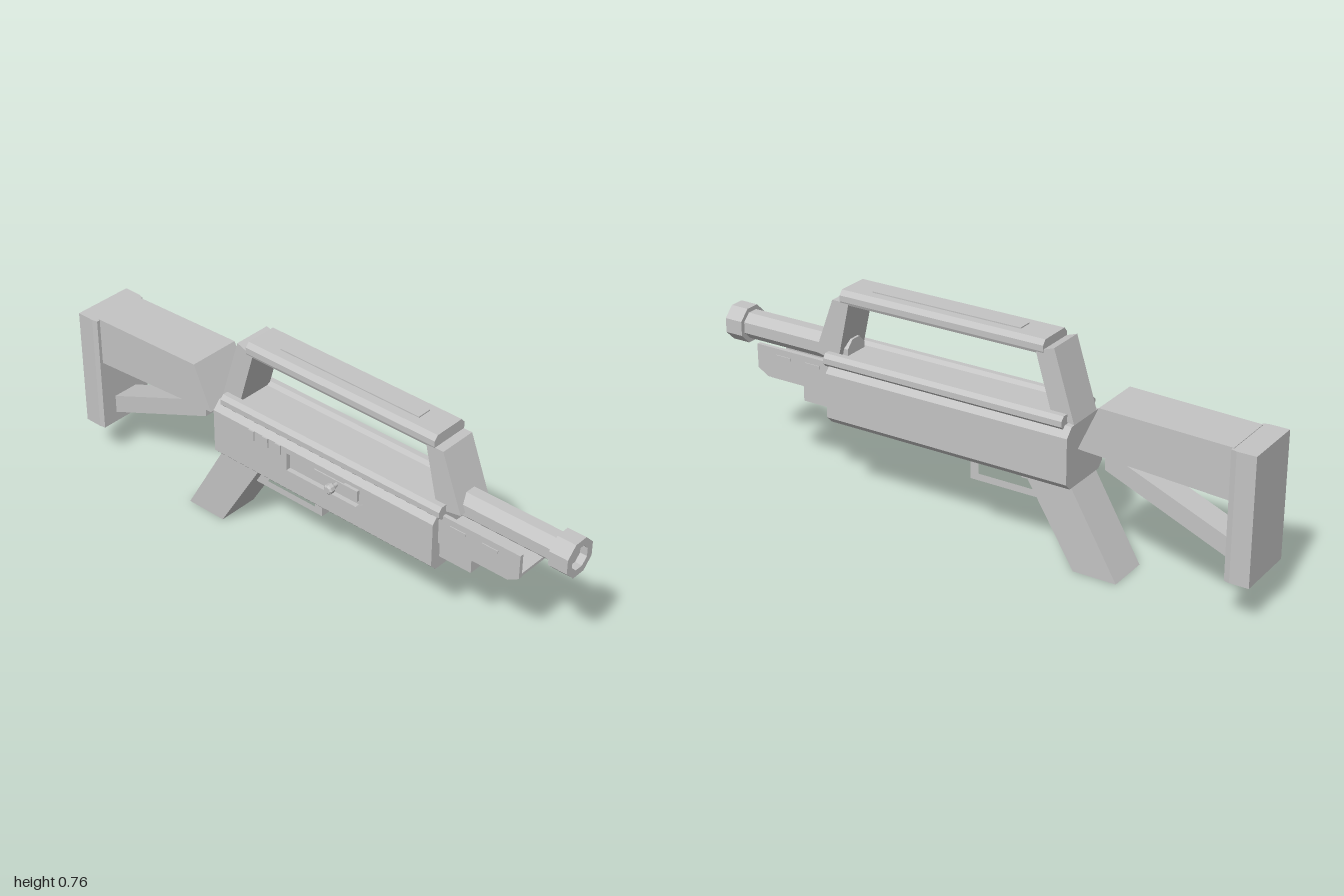
import * as THREE from 'three';

const CX = 0.018; // centre line of the main parts

export function createModel() {
  const root = new THREE.Group();
  root.name = 'rifle';
  const grey = new THREE.MeshStandardMaterial({ color: 0xc4c4c4 });
  grey.name = 'light grey';

  const add = (name, geometry) => {
    const mesh = new THREE.Mesh(geometry, grey);
    mesh.name = name;
    root.add(mesh);
    return mesh;
  };
  const outline = (pts, hole) => {
    const s = new THREE.Shape(pts.map(p => new THREE.Vector2(...p)));
    if (hole) s.holes.push(new THREE.Path(hole.map(p => new THREE.Vector2(...p))));
    return s;
  };
  const extrude = (pts, depth, hole) =>
    new THREE.ExtrudeGeometry(outline(pts, hole), { depth, bevelEnabled: false });
  // Side profile of [z, y] points, spanning x0 to x1
  const side = (name, pts, x0, x1, hole) =>
    add(name, extrude(pts, x1 - x0, hole).rotateY(-Math.PI / 2).translate(x1, 0, 0));
  // Front profile of [x, y] points, spanning z0 to z1
  const front = (name, pts, z0, z1, hole) =>
    add(name, extrude(pts, z1 - z0, hole).translate(0, 0, z0));
  const box = (name, x0, x1, y0, y1, z0, z1) =>
    add(name, new THREE.BoxGeometry(x1 - x0, y1 - y0, z1 - z0)
      .translate((x0 + x1) / 2, (y0 + y1) / 2, (z0 + z1) / 2));
  // Octagon with flat sides, r = half width across flats
  const octagon = (cx, cy, r) => Array.from({ length: 8 }, (_, i) => {
    const a = (i + 0.5) * Math.PI / 4, R = r / Math.cos(Math.PI / 8);
    return [cx + R * Math.cos(a), cy + R * Math.sin(a)];
  });

  // Receiver: chamfered core, with a separate right panel holding the port
  front('receiver', [
    [-0.07, 0.29], [0.106, 0.29], [0.128, 0.313], [0.128, 0.47], [0.1, 0.5],
    [-0.064, 0.5], [-0.092, 0.47], [-0.075, 0.47], [-0.075, 0.313], [-0.092, 0.313],
  ], -0.37, 0.545);
  side('portPanel', [[-0.37, 0.313], [0.545, 0.313], [0.545, 0.47], [-0.37, 0.47]],
    -0.092, -0.075,
    [[-0.05, 0.385], [0.24, 0.385], [0.27, 0.405], [0.27, 0.46], [0.2, 0.46],
      [0.19, 0.45], [0.0, 0.45], [-0.05, 0.45]]);
  box('topSlab', -0.06, 0.096, 0.495, 0.52, -0.345, 0.55);
  for (const s of [-1, 1]) front('sideRail', octagon(CX + s * 0.079, 0.509, 0.023), -0.345, 0.56);

  // Ribs and bolt handle on the port side
  for (const z of [-0.2, -0.14, -0.085]) box('panelRib', -0.097, -0.09, 0.435, 0.47, z - 0.012, z + 0.012);
  box('bolt', -0.086, -0.074, 0.4, 0.44, 0.06, 0.24);
  add('boltShaft', new THREE.CylinderGeometry(0.008, 0.008, 0.04, 8)
    .rotateZ(Math.PI / 2).translate(-0.09, 0.427, 0.155));
  add('boltKnob', new THREE.LatheGeometry(
    [[0, -0.013], [0.012, -0.013], [0.017, -0.008], [0.017, 0.008], [0.012, 0.013], [0, 0.013]]
      .map(p => new THREE.Vector2(...p)), 8).toNonIndexed()
    .rotateZ(Math.PI / 2).translate(-0.117, 0.427, 0.155)).geometry.computeVertexNormals();

  // Barrel and hollow muzzle
  front('barrel', octagon(CX, 0.523, 0.046), 0.5, 0.975);
  front('muzzle', octagon(CX, 0.523, 0.061), 0.933, 1, octagon(CX, 0.523, 0.037));

  // Open-topped fore-end with a stepped underside
  side('foreEndFloor', [[0.85, 0.415], [0.8, 0.385], [0.54, 0.385], [0.54, 0.425], [0.85, 0.425]], -0.06, 0.096);
  for (const [x0, x1] of [[-0.064, -0.05], [0.086, 0.1]]) {
    side('foreEndWall', [[0.85, 0.412], [0.81, 0.388], [0.54, 0.388], [0.54, 0.497], [0.85, 0.497]], x0, x1);
  }
  for (const x of [-0.065, 0.101]) {
    for (const z of [0.62, 0.74]) box('wallVent', x - 0.002, x + 0.002, 0.465, 0.475, z - 0.03, z + 0.03);
  }
  box('foreEndStep', -0.054, 0.092, 0.33, 0.4, 0.54, 0.667);

  // Carry handle
  side('handleFrontLeg', [[0.615, 0.517], [0.525, 0.5], [0.475, 0.715], [0.54, 0.715]], -0.05, 0.086);
  side('handleRearLeg', [[-0.23, 0.715], [-0.295, 0.738], [-0.37, 0.5], [-0.29, 0.515]], -0.05, 0.086);
  front('handleBar', [
    [-0.048, 0.708], [0.084, 0.708], [0.088, 0.718], [0.088, 0.738], [0.074, 0.754],
    [-0.038, 0.754], [-0.052, 0.738], [-0.052, 0.718],
  ], -0.257, 0.508);
  box('handleTopPlate', -0.006, 0.044, 0.752, 0.758, -0.15, 0.41);

  // Grip, trigger guard and trigger
  side('grip', [[-0.2, 0.295], [-0.38, 0], [-0.535, 0], [-0.365, 0.295]], -0.058, 0.094);
  side('triggerGuard', [[0.032, 0.295], [0.032, 0.198], [-0.27, 0.198], [-0.27, 0.295]],
    -0.014, 0.052,
    [[0.0, 0.289], [0.0, 0.222], [-0.205, 0.222], [-0.187, 0.289]]);
  side('trigger', [[-0.135, 0.295], [-0.15, 0.243], [-0.172, 0.243], [-0.168, 0.295]], 0.004, 0.034);

  // Stock, lower strut and butt plate
  side('stock', [[-0.47, 0.594], [-0.4, 0.44], [-0.92, 0.407], [-0.92, 0.58]], -0.076, 0.114);
  side('stockStrut', [[-0.47, 0.433], [-0.47, 0.368], [-0.92, 0.18], [-0.92, 0.247]], -0.03, 0.066);
  const butt = [[-0.088, -0.915], [-0.092, -0.935], [-0.092, -1], [0.128, -1], [0.128, -0.935], [0.122, -0.915]];
  add('buttPlate', extrude(butt.map(([x, z]) => [x, -z]), 0.433)
    .rotateX(-Math.PI / 2).translate(0, 0.145, 0));

  return root;
}
